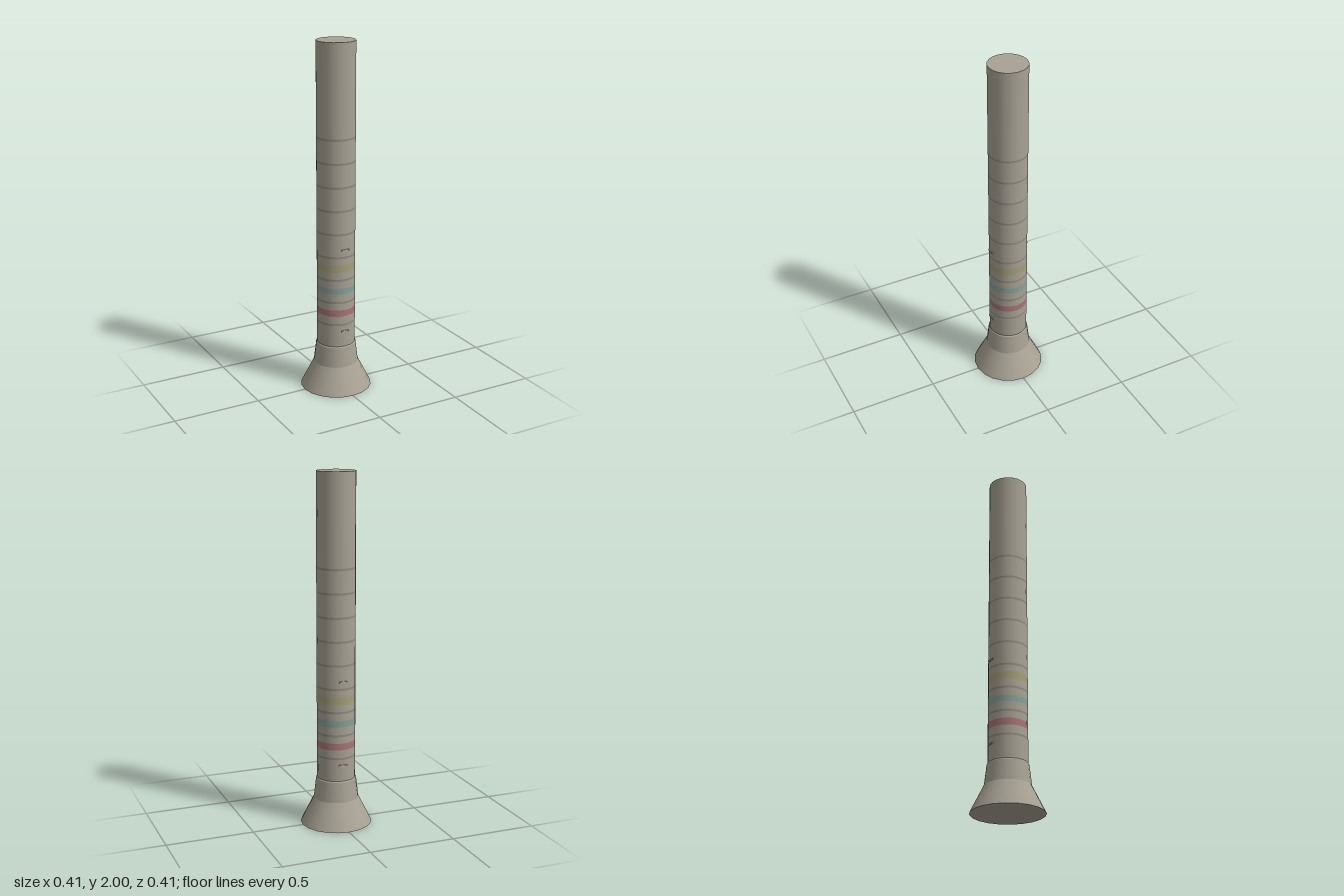
import * as THREE from 'three';

const SIDES = 20;
const TUBE_R = 0.109;

export function createModel() {
  const group = new THREE.Group();
  const paint = (color) => new THREE.MeshStandardMaterial({ color, side: THREE.DoubleSide });
  const body = paint(0xa8a294);
  const mark = paint(0x908b80);

  const add = (name, geometry, material, y = 0) => {
    const mesh = new THREE.Mesh(geometry, material);
    mesh.name = name;
    mesh.position.y = y;
    group.add(mesh);
    return mesh;
  };
  // Open, smooth-sided section between two heights
  const section = (name, y0, y1, r0, r1, material) =>
    add(name, new THREE.CylinderGeometry(r1, r0, y1 - y0, SIDES, 1, true), material, (y0 + y1) / 2);
  const disc = (name, r, y, up, material) => {
    const mesh = add(name, new THREE.CircleGeometry(r, SIDES), material, y);
    mesh.rotation.x = up ? -Math.PI / 2 : Math.PI / 2;
  };

  // Flared foot and collar
  disc('footUnderside', 0.203, 0, false, body);
  section('flaredFoot', 0, 0.15, 0.203, 0.128, body);
  section('collar', 0.15, 0.265, 0.128, 0.114, body);
  section('collarLip', 0.265, 0.272, 0.114, TUBE_R, body);

  // Flush bands along the tube: thin grey rings and three coloured stripes
  const bands = [];
  for (let i = 0; i < 9; i++) {
    bands.push({ name: 'greyRing', y: 0.405 + i * 0.1338, h: 0.012, material: mark });
  }
  bands.push(
    { name: 'redBand', y: 0.475, h: 0.038, material: paint(0xa87478) },
    { name: 'tealBand', y: 0.607, h: 0.036, material: paint(0x86a099) },
    { name: 'yellowBand', y: 0.742, h: 0.042, material: paint(0xa3a078) },
  );
  bands.sort((a, b) => a.y - b.y);

  // Tube built upwards, band by band
  let y = 0.26;
  for (const band of bands) {
    const low = band.y - band.h / 2;
    const high = band.y + band.h / 2;
    section('tube', y, low, TUBE_R, TUBE_R, body);
    section(band.name, low, high, TUBE_R, TUBE_R, band.material);
    y = high;
  }
  section('tube', y, 2, TUBE_R, TUBE_R, body);
  disc('tubeTop', TUBE_R, 2, true, body);

  // Small tabs on the front and back of the tube
  for (const height of [0.365, 0.85]) {
    for (const side of [-1, 1]) {
      const tab = add('tab', new THREE.BoxGeometry(0.046, 0.008, 0.007), paint(0xb5b2a2), height);
      tab.position.z = side * 0.1095;
    }
  }
  return group;
}
